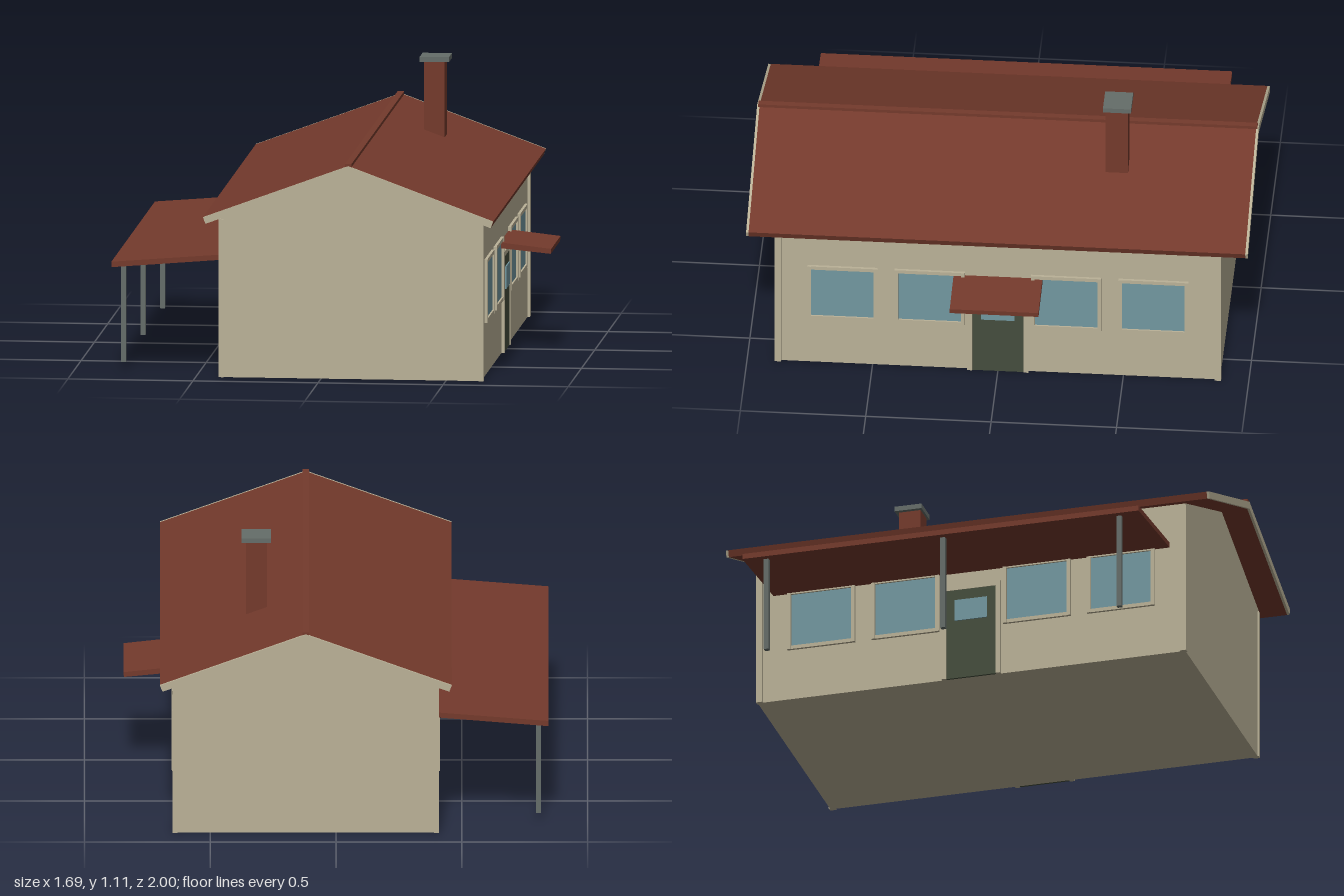
import * as THREE from 'three';

const mat = (name, color) => {
  const m = new THREE.MeshStandardMaterial({ color });
  m.name = name;
  return m;
};

export function createModel() {
  const cream = mat('cream', 0xbab197);
  const red = mat('roofRed', 0x743a2c);
  const blue = mat('glassBlue', 0x7297a0);
  const green = mat('doorGreen', 0x454d3d);
  const grey = mat('grey', 0x656d69);
  const house = new THREE.Group();
  house.name = 'house';
  const CX = 0.12; // ridge line
  const HALF = 0.52; // half width of the walls

  const add = (name, geo, m, parent = house) => {
    const mesh = new THREE.Mesh(geo, m);
    mesh.name = name;
    parent.add(mesh);
    return mesh;
  };
  // box from its lower and upper limits
  const box = (name, m, x0, x1, y0, y1, z0, z1, parent) => {
    const g = new THREE.BoxGeometry(Math.abs(x1 - x0), y1 - y0, z1 - z0);
    g.translate((x0 + x1) / 2, (y0 + y1) / 2, (z0 + z1) / 2);
    return add(name, g, m, parent);
  };
  // profile in x and y, extruded from z0 to z1
  const prism = (name, m, pts, z0, z1) => {
    const shape = new THREE.Shape(pts.map(p => new THREE.Vector2(...p)));
    const g = new THREE.ExtrudeGeometry(shape, { depth: z1 - z0, bevelEnabled: false });
    return add(name, g.translate(0, 0, z0), m);
  };

  // walls with gables
  prism('walls', cream, [
    [CX - HALF, 0], [CX + HALF, 0], [CX + HALF, 0.647], [CX, 0.842], [CX - HALF, 0.647],
  ], -0.885, 0.885);

  // pitched roof, verge boards and ridge cap
  const roof = [
    [CX, 0.872], [CX - 0.58, 0.658], [CX - 0.57, 0.632],
    [CX, 0.842], [CX + 0.57, 0.632], [CX + 0.58, 0.658],
  ];
  prism('roof', red, roof, -0.99, 0.99);
  prism('frontVergeBoard', cream, roof, 0.99, 1);
  prism('backVergeBoard', cream, roof, -1, -0.99);
  box('ridgeCap', red, CX - 0.013, CX + 0.013, 0.862, 0.88, -0.995, 0.995);

  // chimney
  box('chimney', red, 0.275, 0.357, 0.74, 1.09, -0.497, -0.407);
  box('chimneyCap', grey, 0.258, 0.375, 1.088, 1.108, -0.51, -0.398);

  // frame of two uprights and a head, with an optional sill
  const frame = (name, bar, z, half, y0, y1, t, sill) => {
    bar(name + 'Upright', cream, 0, 0.013, y0, y1, z - half, z - half + t);
    bar(name + 'Upright', cream, 0, 0.013, y0, y1, z + half - t, z + half);
    bar(name + 'Head', cream, 0, 0.011, y1 - t, y1, z - half + t, z + half - t);
    if (sill) bar(name + 'Sill', cream, 0, 0.011, y0, y0 + t, z - half + t, z + half - t);
  };

  // the two long sides: corner boards, windows and door
  for (const s of [1, -1]) {
    const side = new THREE.Group();
    side.name = s > 0 ? 'leftSide' : 'rightSide';
    house.add(side);
    const wx = CX + s * HALF;
    const bar = (name, m, out0, out1, y0, y1, z0, z1) =>
      box(name, m, wx + s * out0, wx + s * out1, y0, y1, z0, z1, side);

    for (const e of [1, -1]) bar('cornerBoard', cream, -0.01, 0.01, 0, 0.635, e * 0.877 - 0.013, e * 0.877 + 0.013);
    for (const z of [-0.62, -0.272, 0.272, 0.62]) {
      frame('window', bar, z, 0.14, 0.215, 0.47, 0.015, true);
      bar('windowGlass', blue, 0, 0.004, 0.23, 0.455, z - 0.125, z + 0.125);
    }
    frame('doorFrame', bar, 0, 0.122, 0, 0.405, 0.02, false);
    bar('door', green, 0, 0.009, 0, 0.385, -0.102, 0.102);
    bar('doorGlass', blue, 0.008, 0.014, 0.25, 0.34, -0.067, 0.067);
  }

  // canopy above the entrance
  prism('entranceCanopy', red, [[0.64, 0.43], [0.843, 0.41], [0.845, 0.43], [0.64, 0.453]], -0.177, 0.177);

  // long porch roof on its posts
  prism('porchRoof', red, [[-0.845, 0.425], [-0.4, 0.462], [-0.4, 0.483], [-0.845, 0.447]], -0.82, 0.82);
  for (const z of [-0.73, 0, 0.73]) box('porchPost', grey, -0.815, -0.795, 0.033, 0.432, z - 0.01, z + 0.01);

  return house;
}
